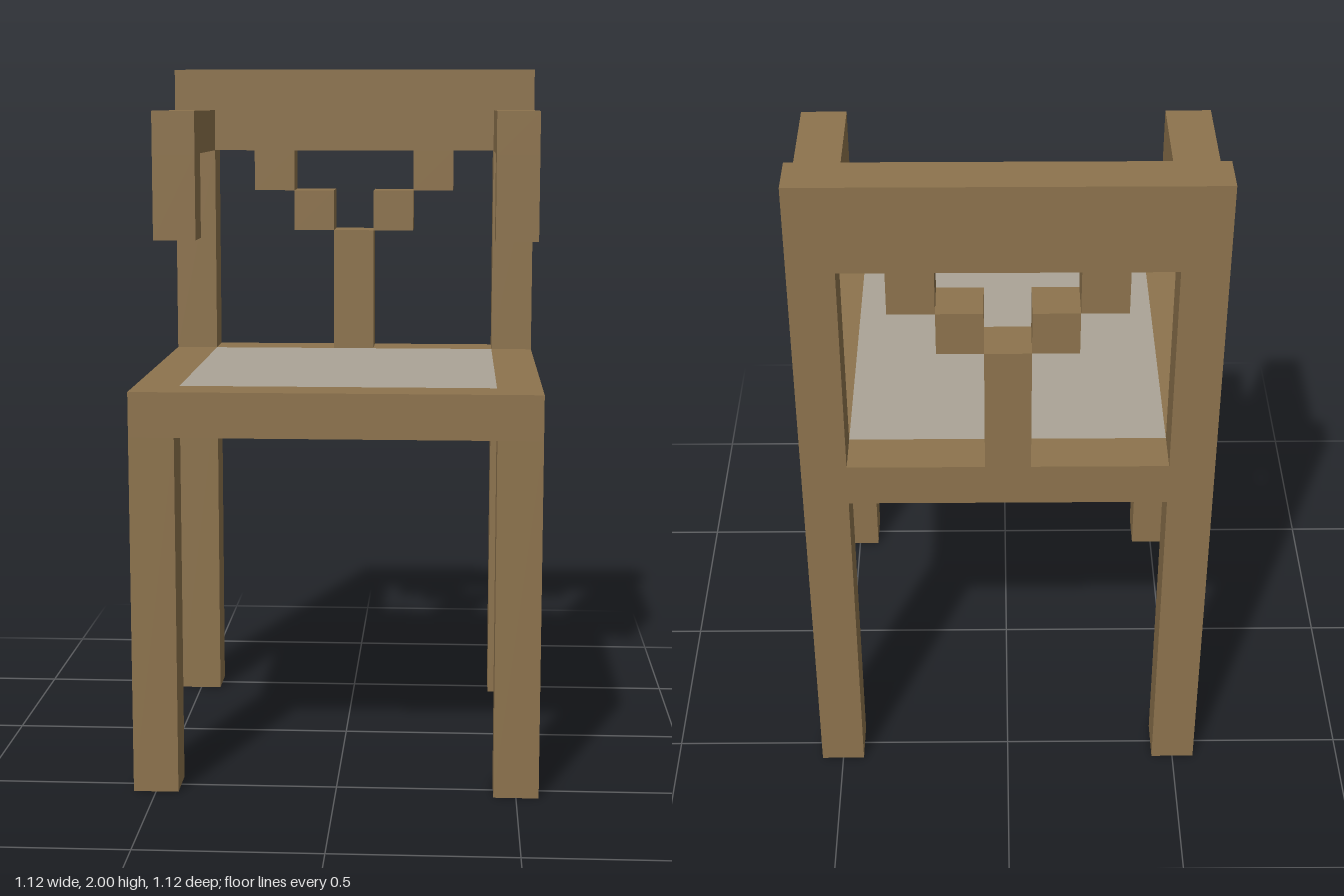
import * as THREE from 'three';

const U = 0.125; // beam thickness
const IN = 3.5 * U, OUT = 4.5 * U; // inner and outer edge of the frame

export function createModel() {
  const model = new THREE.Group();
  model.name = 'armchair';
  const wood = new THREE.MeshStandardMaterial({ color: 0x8d734d, side: THREE.DoubleSide });
  wood.name = 'brown wood';
  const cushion = new THREE.MeshStandardMaterial({ color: 0xaba497 });
  cushion.name = 'grey seat cloth';

  // Box between two corners, optionally open at the bottom
  function block(name, [x0, y0, z0], [x1, y1, z1], material = wood, openBottom = false) {
    const geometry = new THREE.BoxGeometry(x1 - x0, y1 - y0, z1 - z0);
    if (openBottom) {
      const index = Array.from(geometry.index.array);
      index.splice(18, 6);
      geometry.setIndex(index);
      geometry.clearGroups();
    }
    const mesh = new THREE.Mesh(geometry, material);
    mesh.name = name;
    mesh.position.set((x0 + x1) / 2, (y0 + y1) / 2, (z0 + z1) / 2);
    model.add(mesh);
  }

  // The same box on the left (+x) and the right (-x)
  function pair(name, [x0, y0, z0], [x1, y1, z1], openBottom = false) {
    block('left' + name, [x0, y0, z0], [x1, y1, z1], wood, openBottom);
    block('right' + name, [-x1, y0, z0], [-x0, y1, z1], wood, openBottom);
  }

  // Hollow legs
  pair('FrontLeg', [IN, 0, IN], [OUT, 1, OUT], true);
  pair('BackLeg', [IN, 0, -OUT], [OUT, 1, -IN], true);

  // Seat frame with a flush panel
  block('frontSeatRail', [-OUT, 1, IN], [OUT, 1 + U, OUT]);
  block('backSeatRail', [-OUT, 1, -OUT], [OUT, 1 + U, -IN]);
  pair('SeatRail', [IN, 1, -IN], [OUT, 1 + U, IN]);
  block('seatPanel', [-IN, 1, -IN], [IN, 1 + U, IN], cushion);

  // Backrest
  pair('BackPost', [IN, 1 + U, -OUT], [OUT, 1.75, -IN]);
  block('topRail', [-OUT, 1.75, -OUT], [OUT, 2, -IN]);

  // Stepped Y-shaped splat
  block('splatPost', [-U / 2, 1 + U, -OUT], [U / 2, 1.5, -IN]);
  for (let i = 0; i < 2; i++) {
    const x = (i + 0.5) * U, y = 1.5 + i * U;
    pair('SplatStep' + (i + 1), [x, y, -OUT], [x + U, y + U, -IN]);
  }

  // Armrests with drop ends
  pair('Armrest', [IN, 1.75, -IN], [OUT, 1.875, U / 2]);
  pair('ArmrestDrop', [IN, 1.5, -U / 2], [OUT, 1.75, U / 2]);

  return model;
}
